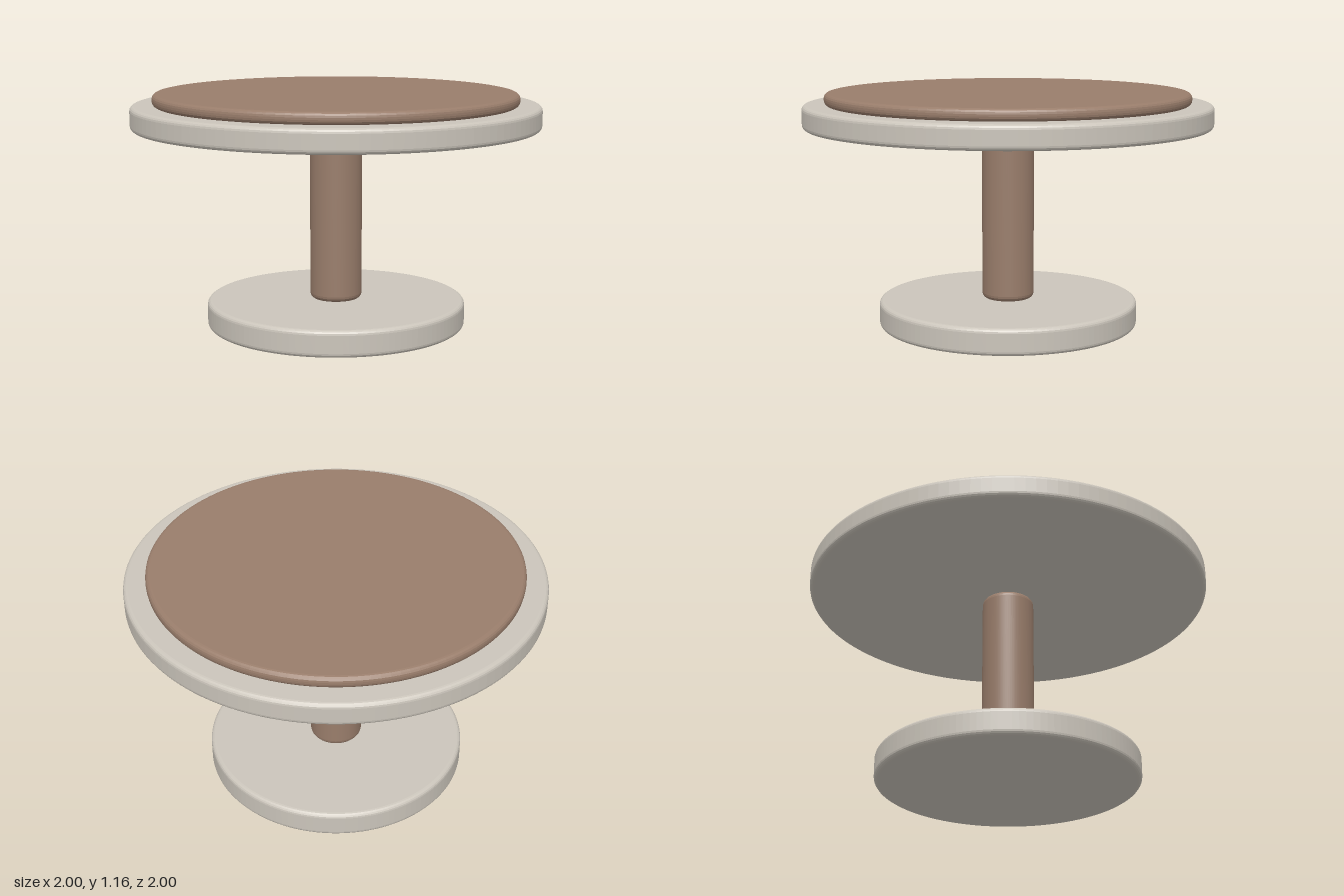
import * as THREE from 'three';

// Round slab with rounded rims, standing from y0 to y1
function disc(name, radius, y0, y1, bevel, material) {
  const shape = new THREE.Shape();
  shape.absarc(0, 0, radius - bevel, 0, Math.PI * 2, false);
  const geometry = new THREE.ExtrudeGeometry(shape, {
    depth: y1 - y0 - 2 * bevel,
    curveSegments: 64,
    bevelEnabled: true,
    bevelSize: bevel,
    bevelThickness: bevel,
    bevelSegments: 4,
  });
  geometry.rotateX(-Math.PI / 2);
  geometry.translate(0, y0 + bevel, 0);
  const mesh = new THREE.Mesh(geometry, material);
  mesh.name = name;
  return mesh;
}

export function createModel() {
  const stone = new THREE.MeshStandardMaterial({ color: 0xcbc5bb });
  stone.name = 'pale stone';
  const wood = new THREE.MeshStandardMaterial({ color: 0x997d6b });
  wood.name = 'brown wood';

  const table = new THREE.Group();
  table.name = 'pedestalTable';
  table.add(
    disc('base', 0.64, 0, 0.13, 0.022, stone),
    disc('column', 0.128, 0.13, 0.99, 0.028, wood),
    disc('tableTop', 1, 0.99, 1.104, 0.022, stone),
    disc('topInlay', 0.893, 1.102, 1.16, 0.024, wood),
  );
  return table;
}
